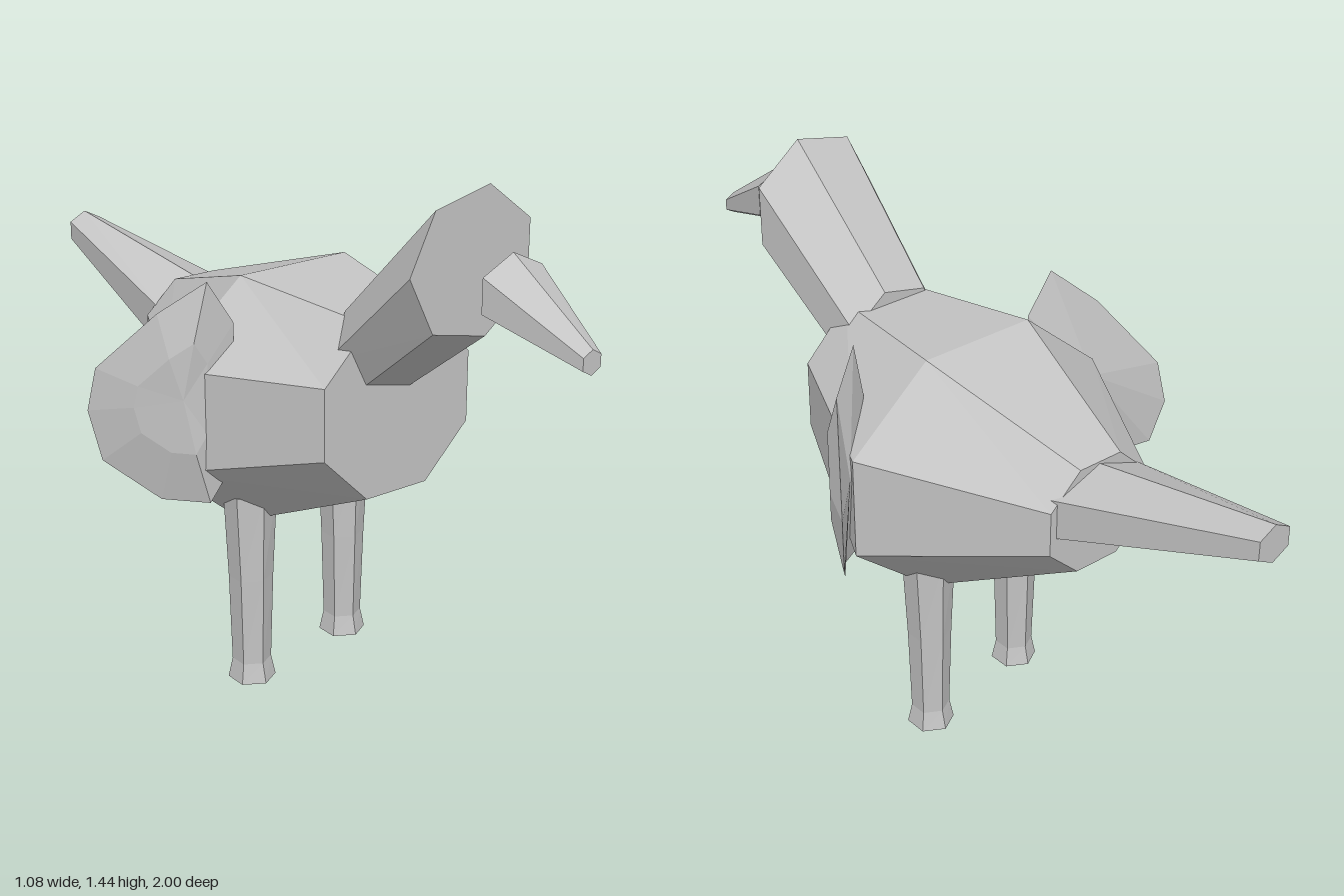
import * as THREE from 'three';

const plumage = new THREE.MeshStandardMaterial({ color: 0xc4c4c4, flatShading: true });
plumage.name = 'plain grey';

function meshFrom(name, triangles) {
  const geometry = new THREE.BufferGeometry();
  geometry.setAttribute('position', new THREE.Float32BufferAttribute(triangles.flat(), 3));
  geometry.computeVertexNormals();
  const mesh = new THREE.Mesh(geometry, plumage);
  mesh.name = name;
  return mesh;
}

// Closed loft of n-sided sections [z, centreX, centreY, radiusX, radiusY], in order of rising z
function loft(name, n, phase, sections) {
  const rings = sections.map(([z, cx, cy, rx, ry]) =>
    Array.from({ length: n }, (_, i) => {
      const a = phase + (i / n) * Math.PI * 2;
      return [cx + rx * Math.cos(a), cy + ry * Math.sin(a), z];
    }));
  const centres = sections.map(([z, cx, cy]) => [cx, cy, z]);
  const last = rings.length - 1;
  const tris = [];
  for (let i = 0; i < n; i++) {
    const j = (i + 1) % n;
    for (let k = 0; k < last; k++) {
      const a = rings[k][i], b = rings[k][j], c = rings[k + 1][j], d = rings[k + 1][i];
      tris.push(a, b, c, a, c, d);
    }
    tris.push(centres[0], rings[0][j], rings[0][i]);
    tris.push(centres[last], rings[last][i], rings[last][j]);
  }
  return meshFrom(name, tris);
}

// Thin wing: a rim, with a bulged outer skin and a hollowed inner skin
function wing(name, side, rim) {
  const at = ([x, y, z]) => [x * side, y, z];
  const tris = [];
  const add = (a, b, c) => (side > 0 ? tris.push(a, b, c) : tris.push(a, c, b));
  const outer = [0.405, 0.85, 0.06], inner = [0.405, 0.85, -0.025];
  const half = (p, c, bulge) => p.map((v, i) => (v + c[i]) / 2 + (i === 1 ? 0 : bulge));
  rim.forEach((p, i) => {
    const q = rim[(i + 1) % rim.length];
    const po = half(p, outer, 0.01), qo = half(q, outer, 0.01);
    // rim runs clockwise seen from the front of the +x side
    add(at(p), at(qo), at(q));
    add(at(p), at(po), at(qo));
    add(at(po), at(outer), at(qo));
    add(at(p), at(q), at(inner));
  });
  return meshFrom(name, tris);
}

export function createModel() {
  const bird = new THREE.Group();
  bird.name = 'bird';

  // Octagonal body with a flat top
  const k = 1 / Math.cos(Math.PI / 8);
  bird.add(loft('body', 8, Math.PI / 8, [
    [-0.48, 0, 0.815, 0.157 * k, 0.145 * k],
    [-0.03, 0, 0.766, 0.4 * k, 0.336 * k],
    [0.39, 0, 0.845, 0.226 * k, 0.225 * k],
  ]));

  // Seven-sided neck, leaning forward
  bird.add(loft('neck', 7, Math.PI, [
    [0.305, -0.003, 0.968, 0.153, 0.149],
    [0.63, 0.013, 1.26, 0.19, 0.186],
  ]));

  // Beak and tail, six-sided with an edge on top
  bird.add(loft('beak', 6, Math.PI / 2, [
    [0.76, 0.01, 1.235, 0.103, 0.085],
    [1, 0.026, 1.127, 0.031, 0.03],
  ]));
  bird.add(loft('tail', 6, Math.PI / 2, [
    [-1, -0.032, 0.98, 0.056, 0.051],
    [-0.42, 0.006, 0.835, 0.168, 0.111],
  ]));

  // Legs, lofted upright; the right one stands a little ahead
  for (const [name, x, z] of [['leftLeg', 0.18, -0.046], ['rightLeg', -0.18, 0.022]]) {
    const leg = loft(name, 6, Math.PI / 2, [
      [0, x, -z, 0.063, 0.063],
      [0.055, x, -z, 0.052, 0.05],
      [0.3, x, -z, 0.06, 0.055],
      [0.54, x, -z, 0.074, 0.06],
    ]);
    leg.geometry.rotateX(-Math.PI / 2);
    bird.add(leg);
  }

  // Wings, swept back and outward
  bird.add(wing('leftWing', 1, [
    [0.3, 1.145, 0.085], [0.4, 1.06, 0.025], [0.535, 0.855, -0.165],
    [0.535, 0.705, -0.165], [0.475, 0.63, -0.085], [0.4, 0.57, 0.025],
    [0.3, 0.56, 0.085], [0.275, 0.65, 0.085], [0.275, 1, 0.085],
  ]));
  bird.add(wing('rightWing', -1, [
    [0.34, 1.145, 0.075], [0.43, 1.06, -0.01], [0.525, 0.9, -0.15],
    [0.54, 0.785, -0.17], [0.52, 0.655, -0.14], [0.43, 0.57, -0.01],
    [0.34, 0.565, 0.075], [0.275, 0.66, 0.085], [0.27, 1.03, 0.085],
  ]));

  return bird;
}
